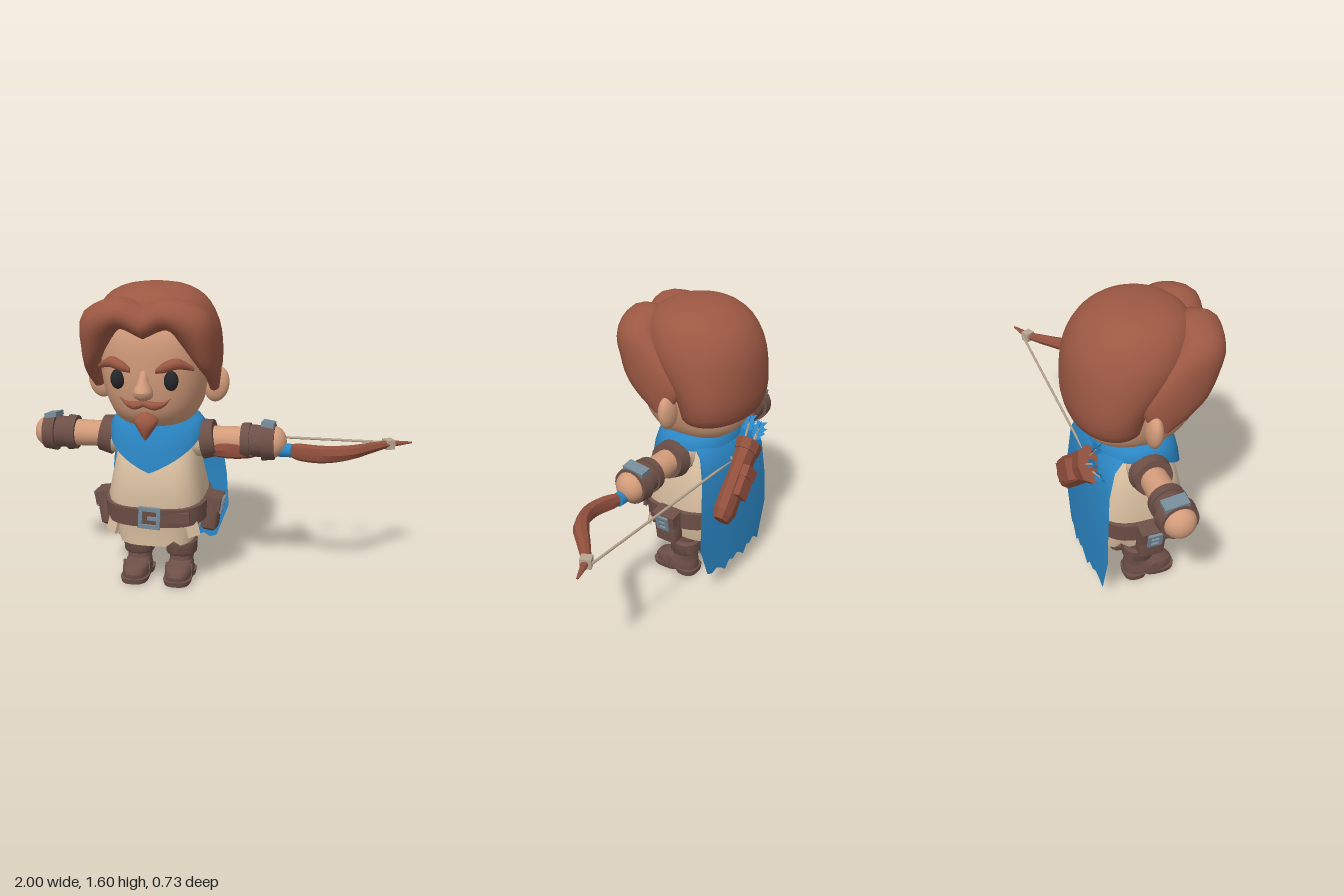
import * as THREE from 'three';
import { toCreasedNormals } from 'three/addons/utils/BufferGeometryUtils.js';

const V = (x, y, z) => new THREE.Vector3(x, y, z);
const mat = (name, color, side = THREE.FrontSide) => {
  const m = new THREE.MeshStandardMaterial({ color, side });
  m.name = name;
  return m;
};

// Skin a series of closed rings; each ring runs counter-clockwise about the direction of travel
function loft(rings, sub = 1, crease = 0.7) {
  const n = rings[0].length, rows = (rings.length - 1) * sub + 1;
  const curves = rings[0].map((_, j) => new THREE.CatmullRomCurve3(rings.map(r => r[j])));
  const pos = [], idx = [];
  for (let i = 0; i < rows; i++) for (let j = 0; j < n; j++) {
    const p = sub === 1 ? rings[i][j] : curves[j].getPoint(i / (rows - 1));
    pos.push(p.x, p.y, p.z);
  }
  for (let i = 0; i < rows - 1; i++) for (let j = 0; j < n; j++) {
    const k = (j + 1) % n, a = i * n + j, b = i * n + k;
    idx.push(a, b, b + n, a, b + n, a + n);
  }
  for (const [ring, start, flip] of [[rings[0], 0, true], [rings.at(-1), (rows - 1) * n, false]]) {
    const c = ring.reduce((s, p) => s.add(p), V(0, 0, 0)).divideScalar(n), ci = pos.length / 3;
    pos.push(c.x, c.y, c.z);
    for (let j = 0; j < n; j++) {
      const a = start + j, b = start + (j + 1) % n;
      idx.push(ci, flip ? b : a, flip ? a : b);
    }
  }
  const g = new THREE.BufferGeometry();
  g.setAttribute('position', new THREE.Float32BufferAttribute(pos, 3));
  g.setIndex(idx);
  return toCreasedNormals(g, crease);
}

// Horizontal rounded rows, bottom to top: [y, halfWidth, zFront, zBack]
function stack(rows, { n = 32, p = 2.5, sub = 1, crease = 0.7, lift = () => 0 } = {}) {
  const pw = v => Math.sign(v) * Math.abs(v) ** (2 / p);
  return loft(rows.map(([y, hx, zf, zb], i) => Array.from({ length: n }, (_, j) => {
    const t = j / n * Math.PI * 2;
    return V(hx * pw(Math.sin(t)), y + lift(t, i, j), (zf + zb) / 2 + (zf - zb) / 2 * pw(Math.cos(t)));
  })), sub, crease);
}

// Elliptical sections: [centre, across, thick], with across x thick along the path
const sweep = (stations, n = 12, sub = 4, crease = 0.9) => loft(stations.map(([c, a, b]) =>
  Array.from({ length: n }, (_, j) => {
    const t = j / n * Math.PI * 2;
    return V(...c).addScaledVector(V(...a), Math.cos(t)).addScaledVector(V(...b), Math.sin(t));
  })), sub, crease);

function mirrored(geo) {
  const g = geo.index ? geo.toNonIndexed() : geo.clone();
  g.scale(-1, 1, 1);
  const idx = [];
  for (let i = 0; i < g.attributes.position.count; i += 3) idx.push(i, i + 2, i + 1);
  return g.setIndex(idx);
}

const ball = (x, y, z, rx, ry, rz) => new THREE.SphereGeometry(1, 24, 16).scale(rx, ry, rz).translate(x, y, z);
const box = (w, h, d, x, y, z) => new THREE.BoxGeometry(w, h, d).translate(x, y, z);
// Cylinder lying along x
const along = (x0, x1, r0, r1 = r0, y = 0.785) => new THREE.CylinderGeometry(r1, r0, x1 - x0, 20)
  .rotateZ(-Math.PI / 2).translate((x0 + x1) / 2, y, -0.005);

// Buckle frame facing +z
function frame(w, h, t) {
  const rect = (C, a, b) => { const s = new C(); s.moveTo(-a, -b); s.lineTo(a, -b); s.lineTo(a, b); s.lineTo(-a, b); s.closePath(); return s; };
  const s = rect(THREE.Shape, w / 2, h / 2);
  s.holes.push(rect(THREE.Path, w / 2 - t, h / 2 - t));
  return new THREE.ExtrudeGeometry(s, { depth: 0.02, bevelEnabled: false });
}

export function createModel() {
  const skin = mat('skin', 0xd39c7b), hair = mat('hair', 0x9c5843), leather = mat('leather', 0x6d5047),
    cream = mat('linen', 0xdac0a1), blue = mat('blueCloth', 0x2b86c4, THREE.DoubleSide),
    steel = mat('steel', 0x768b99), dark = mat('eyeBlack', 0x24272a), cord = mat('cord', 0xb8a690),
    wood = mat('wood', 0x92503d);
  const root = new THREE.Group(), body = new THREE.Group();
  body.name = 'archer';
  body.position.x = -0.32;
  root.add(body);
  const add = (name, geo, m) => {
    const mesh = new THREE.Mesh(geo, m);
    mesh.name = name;
    body.add(mesh);
    return mesh;
  };
  const both = (name, geo, m) => { add(name + 'Left', geo, m); add(name + 'Right', mirrored(geo), m); };

  // Head and face
  add('head', stack([[0.875, 0.1, 0.13, -0.12], [0.9, 0.18, 0.2, -0.21], [0.96, 0.225, 0.255, -0.265], [1.06, 0.26, 0.285, -0.28],
    [1.2, 0.28, 0.3, -0.29], [1.35, 0.28, 0.295, -0.28], [1.46, 0.24, 0.25, -0.24]], { p: 2.4, sub: 3 }), skin);
  both('ear', ball(0, 0, 0, 0.065, 0.095, 0.04).rotateZ(-0.2).translate(0.31, 1.078, -0.015), skin);
  add('nose', stack([[1.05, 0.02, 0.31, 0.25], [1.068, 0.045, 0.35, 0.25], [1.1, 0.048, 0.366, 0.25],
    [1.14, 0.03, 0.338, 0.25], [1.2, 0.018, 0.305, 0.25]], { n: 14, p: 2, sub: 2 }), skin);
  both('eye', ball(0.135, 1.15, 0.275, 0.036, 0.05, 0.034), dark);
  both('eyebrow', sweep([[[0.065, 1.2, 0.292], [0, 0.014, 0], [0, 0, 0.02]], [[0.11, 1.22, 0.292], [0, 0.028, 0], [0, 0, 0.03]],
    [[0.165, 1.235, 0.275], [0, 0.028, 0], [0.01, 0, 0.03]], [[0.235, 1.205, 0.225], [0, 0.012, 0], [0.01, 0, 0.015]]], 10), hair);
  both('moustache', sweep([[[0, 1.035, 0.295], [0, 0.016, 0], [0, 0, 0.022]], [[0.05, 1.022, 0.287], [0, 0.022, 0], [0, 0, 0.025]],
    [[0.095, 1.028, 0.268], [0, 0.013, 0], [0, 0, 0.02]], [[0.13, 1.055, 0.262], [0.003, 0.003, 0], [0, 0, 0.008]]], 10), hair);
  add('goatee', stack([[0.845, 0.006, 0.29, 0.27], [0.89, 0.038, 0.308, 0.22], [0.935, 0.062, 0.31, 0.2],
    [0.965, 0.045, 0.295, 0.2], [0.985, 0.012, 0.275, 0.22]], { n: 14, p: 2, sub: 2 }), hair);

  // Hair: a cap over the skull and two locks parted at the brow
  add('hairCap', stack([[1.01, 0.25, 0.03, -0.295], [1.03, 0.28, 0.03, -0.32], [1.12, 0.31, 0.05, -0.345], [1.2, 0.322, 0.1, -0.348],
    [1.3, 0.328, 0.2, -0.345], [1.4, 0.318, 0.26, -0.325], [1.5, 0.275, 0.26, -0.27], [1.555, 0.22, 0.21, -0.2],
    [1.588, 0.14, 0.13, -0.13], [1.6, 0.03, 0.03, -0.04]], { n: 40, p: 2.05, sub: 2 }), hair);
  both('hairLock', sweep([[[0, 1.43, 0.25], [0, 0.075, -0.05], [0, 0.03, 0.09]], [[0.12, 1.475, 0.255], [0, 0.07, -0.055], [0, 0.035, 0.1]],
    [[0.235, 1.41, 0.225], [0.04, 0.075, -0.065], [0.06, 0.02, 0.09]], [[0.29, 1.28, 0.14], [0.02, 0.06, -0.12], [0.053, 0, 0.04]],
    [[0.303, 1.17, 0.05], [0, 0.03, -0.12], [0.042, 0, 0.02]], [[0.305, 1.07, 0.02], [0, 0.01, -0.04], [0.025, 0, 0.005]]], 16), hair);

  // Tunic with a torn hem
  add('tunic', stack([[0.285, 0.215, 0.2, -0.228], [0.38, 0.24, 0.205, -0.235], [0.5, 0.255, 0.234, -0.245], [0.66, 0.222, 0.2, -0.205],
    [0.8, 0.195, 0.155, -0.16], [0.88, 0.12, 0.09, -0.1]],
  { p: 3.2, lift: (t, i, j) => i ? 0 : (j % 5 === 2 ? 0.03 : 0) - 0.045 * Math.max(0, Math.cos(t)) ** 0.5 }), cream);
  for (const s of [-1, 1]) {
    const flap = add('tornFlap', box(0.07, 0.09, 0.02, 0, 0, 0), cream);
    flap.position.set(s * 0.21, 0.345, 0.17);
    flap.rotation.set(-0.2, s * 0.6, s * 0.3);
  }
  // Belt, buckle and pouches
  add('belt', stack([[0.37, 0.258, 0.215, -0.238], [0.375, 0.27, 0.228, -0.246], [0.475, 0.275, 0.238, -0.254], [0.48, 0.26, 0.22, -0.24]],
    { p: 3, crease: 0.5, lift: t => -0.018 * Math.cos(t) }), leather);
  add('beltTongue', box(0.15, 0.055, 0.02, 0.12, 0.415, 0.226).rotateY(0.05), leather);
  const tip = g => g.rotateZ(-0.06).translate(0, 0.41, 0);
  add('buckle', tip(frame(0.115, 0.115, 0.02).translate(0, 0, 0.224)), steel);
  add('bucklePin', tip(box(0.07, 0.018, 0.02, 0.025, 0, 0.237)), steel);
  const tilt = g => g.rotateZ(-0.15).translate(0.287, 0.39, -0.005);
  const lean = g => g.rotateZ(-0.22).translate(0.287, 0.39, -0.005);
  both('pouch', tilt(stack([[-0.1, 0.03, 0.05, -0.05], [-0.085, 0.044, 0.066, -0.066], [0.05, 0.042, 0.07, -0.07], [0.09, 0.032, 0.055, -0.055]],
    { n: 16, p: 5 })), leather);
  both('pouchFlap', tilt(box(0.092, 0.07, 0.138, 0, 0.055, 0)), leather);
  both('pouchBuckle', lean(frame(0.075, 0.085, 0.016).rotateY(Math.PI / 2).translate(0.034, 0.045, 0)), steel);
  both('pouchPin', lean(box(0.02, 0.014, 0.05, 0.044, 0.045, 0)), steel);

  // Legs and boots
  const leg = g => g.translate(0.117, 0, 0);
  both('trouser', leg(stack([[0.16, 0.066, 0.06, -0.075], [0.36, 0.075, 0.07, -0.085]], { n: 16, p: 2.2 })), leather);
  both('bootCuff', leg(stack([[0.135, 0.074, 0.065, -0.08], [0.145, 0.082, 0.073, -0.09], [0.21, 0.086, 0.075, -0.092], [0.222, 0.075, 0.065, -0.08]],
    { n: 20, p: 2.4 })), leather);
  both('boot', leg(stack([[0.025, 0.07, 0.178, -0.085], [0.055, 0.074, 0.182, -0.085], [0.08, 0.07, 0.165, -0.083],
    [0.098, 0.064, 0.11, -0.08], [0.108, 0.063, 0.064, -0.078], [0.15, 0.064, 0.058, -0.078]], { n: 20, p: 2.4 })), leather);
  both('toeStrap', leg(box(0.15, 0.07, 0.03, 0, 0.06, 0).rotateX(-0.35).translate(0, 0.004, 0.09)), leather);
  both('toeSole', leg(stack([[0.005, 0.07, 0.185, 0.01], [0.032, 0.077, 0.19, 0]], { n: 20, p: 2.8 })), leather);
  both('heel', leg(stack([[0, 0.07, 0.03, -0.088], [0.032, 0.077, 0.04, -0.092]], { n: 20, p: 2.8 })), leather);

  // Arms held out to the sides
  both('sleeve', along(0.12, 0.25, 0.1, 0.094), cream);
  both('sleeveCuff', along(-0.035, 0.035, 0.106, 0.096, 0).rotateZ(0.15).translate(0.272, 0.787, 0), leather);
  both('arm', along(0.26, 0.5, 0.068, 0.072), skin);
  both('bracer', along(0.45, 0.61, 0.082, 0.085), leather);
  both('bracerInnerBand', along(0.445, 0.49, 0.09, 0.094), leather);
  both('bracerOuterBand', along(0.555, 0.62, 0.102, 0.094), leather);
  both('bracerPlate', box(0.065, 0.025, 0.12, 0, 0, 0).rotateZ(-0.15).rotateX(-0.12).translate(0.582, 0.876, -0.018), steel);
  both('hand', ball(0.61, 0.785, -0.005, 0.07, 0.082, 0.08), skin);

  // Scarf: a collar dropping to a point in front
  const drop = [0, 0.3, 0.65, 1];
  add('scarf', stack([[0.93, 0.16, 0.16, -0.17], [0.905, 0.225, 0.195, -0.195], [0.875, 0.248, 0.215, -0.21], [0.845, 0.25, 0.228, -0.215]].reverse(),
    { n: 40, p: 2.2, lift: (t, i) => -0.195 * drop[3 - i] * Math.max(0, 1 - Math.acos(Math.cos(t)) / 1.5) }), blue);

  // Cape: a grid shaped by [y, halfWidth, z] rows with a ragged hem
  const capeRows = [[0.91, 0.2, -0.12], [0.84, 0.265, -0.2], [0.72, 0.3, -0.24], [0.52, 0.325, -0.255], [0.33, 0.335, -0.262], [0.13, 0.265, -0.265]];
  const cape = new THREE.PlaneGeometry(1, 1, 14, 5), cp = cape.attributes.position;
  for (let i = 0; i < cp.count; i++) {
    const r = Math.floor(i / 15), c = i % 15, u = c / 7 - 1, [y, hw, z] = capeRows[r];
    const hem = r === 5 ? [-0.03, 0, 0.02, 0, 0.015][c % 5] : 0;
    cp.setXYZ(i, u * hw, y + hem - (r === 0 ? 0.05 * u * u : 0), z - 0.01 + 0.022 * u * u);
  }
  cape.computeVertexNormals();
  add('cape', cape, blue);

  // Quiver slung across the back
  const quiver = new THREE.Group();
  quiver.name = 'quiver';
  const top = V(-0.11, 0.8, -0.258), bottom = V(0.22, 0.49, -0.3);
  quiver.position.copy(top).lerp(bottom, 0.5);
  quiver.quaternion.setFromUnitVectors(V(0, 1, 0), top.clone().sub(bottom).normalize());
  body.add(quiver);
  const inQuiver = (name, geo, m) => { quiver.add(add(name, geo, m)); };
  inQuiver('quiverTube', stack([[-0.23, 0.06, 0.035, -0.035], [-0.18, 0.085, 0.045, -0.05], [0.1, 0.082, 0.045, -0.05], [0.22, 0.08, 0.05, -0.055]],
    { n: 8, p: 2.4, crease: 0.3 }), wood);
  inQuiver('quiverRim', stack([[0.17, 0.09, 0.055, -0.06], [0.23, 0.096, 0.06, -0.064]], { n: 8, p: 2.4, crease: 0.3 }), wood);
  inQuiver('quiverPocket', box(0.1, 0.17, 0.05, 0, 0, -0.05), wood);
  inQuiver('quiverPocketFlap', box(0.11, 0.065, 0.06, 0, 0.055, -0.05), wood);
  // Arrows with notched fletching
  const vane = new THREE.Shape([[0, 0], [0.03, 0.02], [0.02, 0.035], [0.035, 0.06], [0.02, 0.07], [0.032, 0.1], [0, 0.09],
    [-0.032, 0.1], [-0.02, 0.07], [-0.035, 0.06], [-0.02, 0.035], [-0.03, 0.02]].map(([x, y]) => new THREE.Vector2(x, y)));
  for (const [x, z, angle] of [[-0.045, 0.005, 0.35], [0, -0.02, 0.1], [0.045, 0.01, -0.2]]) {
    const place = g => g.rotateZ(angle).translate(x, 0.24, z);
    inQuiver('arrowShaft', place(new THREE.CylinderGeometry(0.006, 0.006, 0.16, 6)), cord);
    for (const turn of [0.4, 1.97]) inQuiver('fletching', place(new THREE.ShapeGeometry(vane).rotateY(turn).translate(0, 0.03, 0)), blue);
  }

  // Bow lying level in the left hand, mirrored about the grip
  const bow = new THREE.Group();
  bow.name = 'bow';
  bow.position.set(0.62, 0.745, 0);
  body.add(bow);
  const bowPart = (name, geo, m) => { bow.add(add(name, geo, m)); };
  const limb = sweep([[0.08, 0.01, 0.034, 0.024], [0.12, 0.025, 0.045, 0.028], [0.2, 0.048, 0.048, 0.027], [0.28, 0.045, 0.046, 0.03],
    [0.38, -0.005, 0.04, 0.032], [0.48, -0.105, 0.03, 0.027], [0.58, -0.2, 0.02, 0.018], [0.7, -0.255, 0.005, 0.005]]
    .map(([x, z, h, t], i) => [[x, 0, z], [0, h, 0], [i > 3 ? t * 0.7 : 0, 0, t]]), 8, 3, 0.5);
  const tie = box(0.05, 0.05, 0.055, 0, 0, 0).rotateY(0.5).translate(0.58, 0, -0.205);
  bowPart('bowLimbOuter', limb, wood);
  bowPart('bowLimbInner', mirrored(limb), wood);
  bowPart('stringTieOuter', tie, cord);
  bowPart('stringTieInner', mirrored(tie), cord);
  bowPart('bowGrip', new THREE.CylinderGeometry(0.036, 0.036, 0.17, 12).rotateZ(Math.PI / 2).translate(0, 0, 0.008), blue);
  bowPart('bowString', new THREE.CylinderGeometry(0.007, 0.007, 1.16, 6).rotateZ(Math.PI / 2).translate(0, 0, -0.235), cord);
  return root;
}
